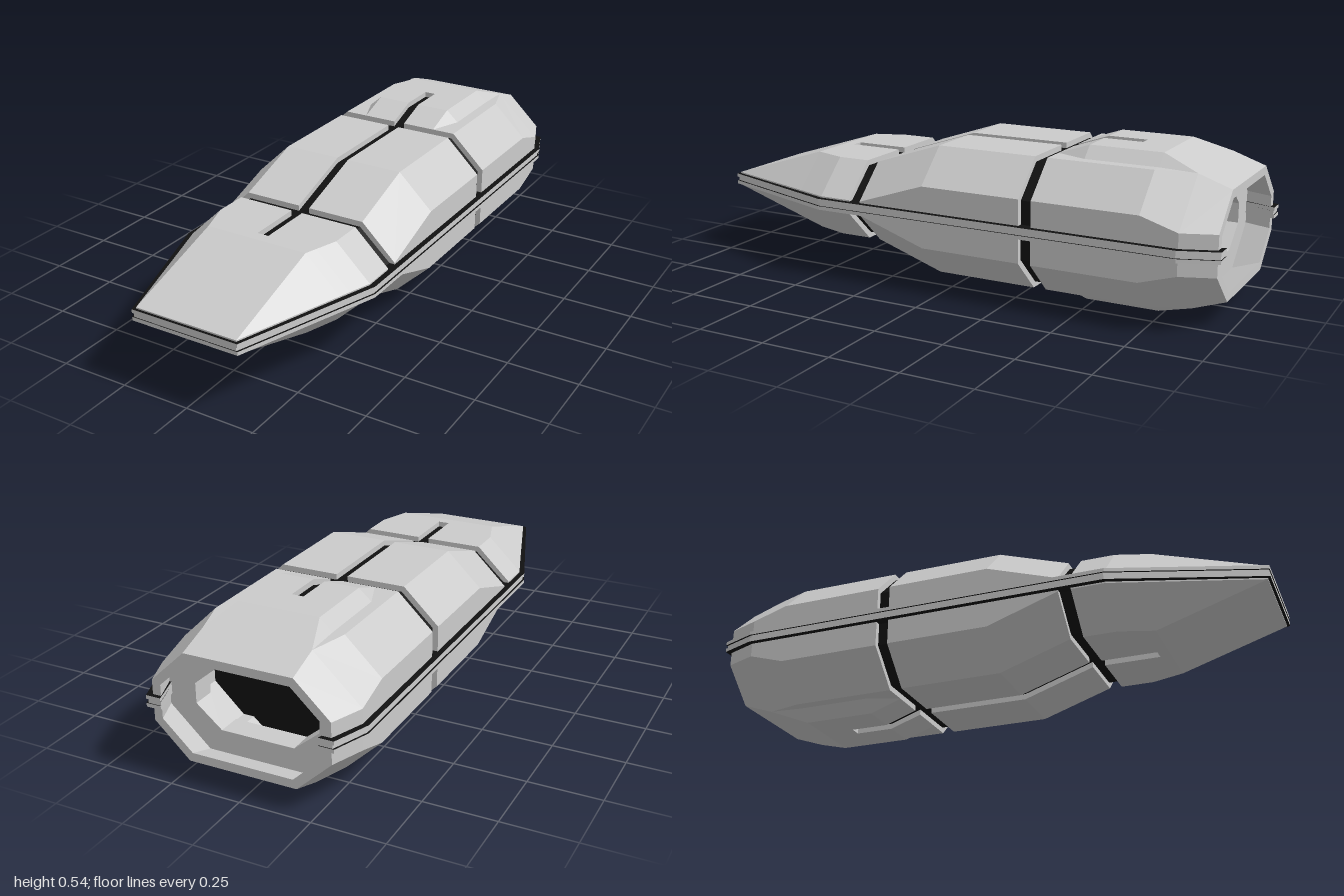
import * as THREE from 'three';

const MID = 0.27, BASE = 0.29;
const grey = new THREE.MeshStandardMaterial({ color: 0xcccccc, flatShading: true, side: THREE.DoubleSide });
const black = new THREE.MeshStandardMaterial({ color: 0x111111, flatShading: true, side: THREE.DoubleSide });

// Upper hull stations: z, side x, shoulder y, roof x, roof y, hump foot x, hump top x, hump y
const stations = [
  [0.98, 0.19, 0.295, 0.19, 0.295, 0.145, 0.145, 0.295],
  [0.6, 0.315, 0.295, 0.19, 0.415, 0.145, 0.145, 0.415],
  [0.48, 0.355, 0.295, 0.23, 0.415, 0.145, 0.145, 0.415],
  [0.315, 0.355, 0.295, 0.23, 0.415, 0.145, 0.145, 0.415],
  [0.06, 0.355, 0.38, 0.23, 0.5, 0.145, 0.145, 0.5],
  [-0.355, 0.355, 0.38, 0.23, 0.5, 0.145, 0.145, 0.5],
  [-0.47, 0.355, 0.38, 0.23, 0.5, 0.19, 0.145, 0.54],
  [-0.73, 0.355, 0.38, 0.23, 0.5, 0.19, 0.145, 0.54],
  [-0.86, 0.355, 0.34, 0.19, 0.495, 0.19, 0.19, 0.495],
  [-0.975, 0.312, 0.34, 0.19, 0.455, 0.19, 0.19, 0.455],
];

function stationAt(z) {
  let i = 0;
  while (i < stations.length - 2 && stations[i + 1][0] > z) i++;
  const a = stations[i], b = stations[i + 1], t = (a[0] - z) / (a[0] - b[0]);
  return a.map((v, k) => v + (b[k] - v) * t);
}

// Half profile from the belt up to x = c, moved inward by d
function profile(z, c, d) {
  const [, w, ys, t, yt, b, bt, yh] = stationAt(z);
  return [[w - d, BASE], [w - d, ys - 0.4 * d], [t - 0.4 * d, yt - d], [b - 0.4 * d, yt - d],
    [bt - 0.4 * d, yh - d], [c, yh - d]].map(([x, y]) => [x, Math.max(BASE, y)]);
}

// Loft closed rings from front to back; sx and sy mirror the result
function loft(rings, sx, sy) {
  const n = rings[0].length, h = n / 2, pos = [];
  const tri = (...p) => {
    if (sx * sy < 0) p.reverse();
    p.forEach(([x, y, z]) => pos.push(sx * x, sy > 0 ? y : 2 * MID - y, z));
  };
  const quad = (a, b, c, d) => { tri(a, b, c); tri(a, c, d); };
  for (let i = 0; i < rings.length - 1; i++) {
    for (let j = 0; j < n; j++) {
      const k = (j + 1) % n;
      quad(rings[i][j], rings[i + 1][j], rings[i + 1][k], rings[i][k]);
    }
  }
  const first = rings[0], last = rings[rings.length - 1];
  for (let j = 0; j < h - 1; j++) {
    quad(first[j], first[j + 1], first[n - 2 - j], first[n - 1 - j]);
    quad(last[n - 1 - j], last[n - 2 - j], last[j + 1], last[j]);
  }
  const g = new THREE.BufferGeometry();
  g.setAttribute('position', new THREE.Float32BufferAttribute(pos, 3));
  g.computeVertexNormals();
  return g;
}

// Stations between two ends, split where the centre slot starts or stops
const SLOT = 0.021, slotEnds = [0.56, -0.61];
function cuts(z0, z1) {
  const inside = [...stations.map(s => s[0]), ...slotEnds].filter(z => z < z0 && z > z1);
  return [z0, ...inside, z1].sort((a, b) => b - a);
}
function panelRings(z0, z1) {
  const ring = (z, c) => [...profile(z, c, 0), ...profile(z, c, 0.03).reverse()].map(([x, y]) => [x, y, z]);
  return cuts(z0, z1).flatMap(z => {
    if (z === slotEnds[0]) return [ring(z, 0), ring(z, SLOT)];
    if (z === slotEnds[1]) return [ring(z, SLOT), ring(z, 0)];
    return [ring(z, z < slotEnds[0] && z > slotEnds[1] ? SLOT : 0)];
  });
}
function coreRings(z0, z1) {
  return cuts(z0, z1).map(z => {
    const top = profile(z, 0, 0.02);
    return [...top, ...top.map(([x]) => [x, BASE]).reverse()].map(([x, y]) => [x, y, z]);
  });
}

// Flat layer of the belt, open at the stern
function beltLayer(y, height, inset) {
  const half = [[0.2, 0.99], [0.375, 0.48], [0.375, -0.86], [0.328, -0.99]]
    .map(([x, z]) => [x - inset, z - Math.sign(z) * inset * 0.5]);
  half.push([0.275, half[3][1]], [0.32, -0.85], [0.32, -0.62]);
  const pts = [...half, ...half.map(([x, z]) => [-x, z]).reverse()];
  const shape = new THREE.Shape(pts.map(([x, z]) => new THREE.Vector2(x, z)));
  const g = new THREE.ExtrudeGeometry(shape, { depth: height, bevelEnabled: false });
  return g.rotateX(Math.PI / 2).translate(0, y + height, 0);
}

// Closed eight-sided outline about the middle height
function octagon(w, ys, t, yt, Type) {
  const q = [[w, ys], [t, yt], [-t, yt], [-w, ys]];
  const pts = [...q, ...q.map(([x, y]) => [x, -y]).reverse()];
  return new Type(pts.map(([x, y]) => new THREE.Vector2(x, y)));
}

export function createModel() {
  const model = new THREE.Group();
  const add = (name, geometry, material, parent = model) => {
    const mesh = new THREE.Mesh(geometry, material);
    mesh.name = name;
    parent.add(mesh);
  };

  // Armour panels, with gaps between them, over a dark core
  const panels = { nosePanel: [0.98, 0.36], middlePanel: [0.315, -0.31], sternPanel: [-0.355, -0.975] };
  for (const sy of [1, -1]) {
    const hull = new THREE.Group();
    hull.name = sy > 0 ? 'upperHull' : 'lowerHull';
    for (const sx of [1, -1]) {
      const side = sx > 0 ? 'Left' : 'Right';
      for (const [name, [z0, z1]] of Object.entries(panels)) {
        add(name + side, loft(panelRings(z0, z1), sx, sy), grey, hull);
      }
      add('core' + side, loft(coreRings(0.6, -0.62), sx, sy), black, hull);
    }
    model.add(hull);
  }

  // Belt around the waist: two rails with a recessed strip between
  add('upperRail', beltLayer(0.277, 0.013, 0), [black, grey]);
  add('beltStrip', beltLayer(0.263, 0.014, 0.006), [black, grey]);
  add('lowerRail', beltLayer(0.25, 0.013, 0), [black, grey]);

  // Frame inside the open stern
  const frame = octagon(0.318, 0.06, 0.18, 0.19, THREE.Shape);
  frame.holes.push(octagon(0.22, 0.035, 0.13, 0.11, THREE.Path));
  add('sternFrame', new THREE.ExtrudeGeometry(frame, { depth: 0.08, bevelEnabled: false })
    .translate(0, MID, -0.88), grey);
  return model;
}
